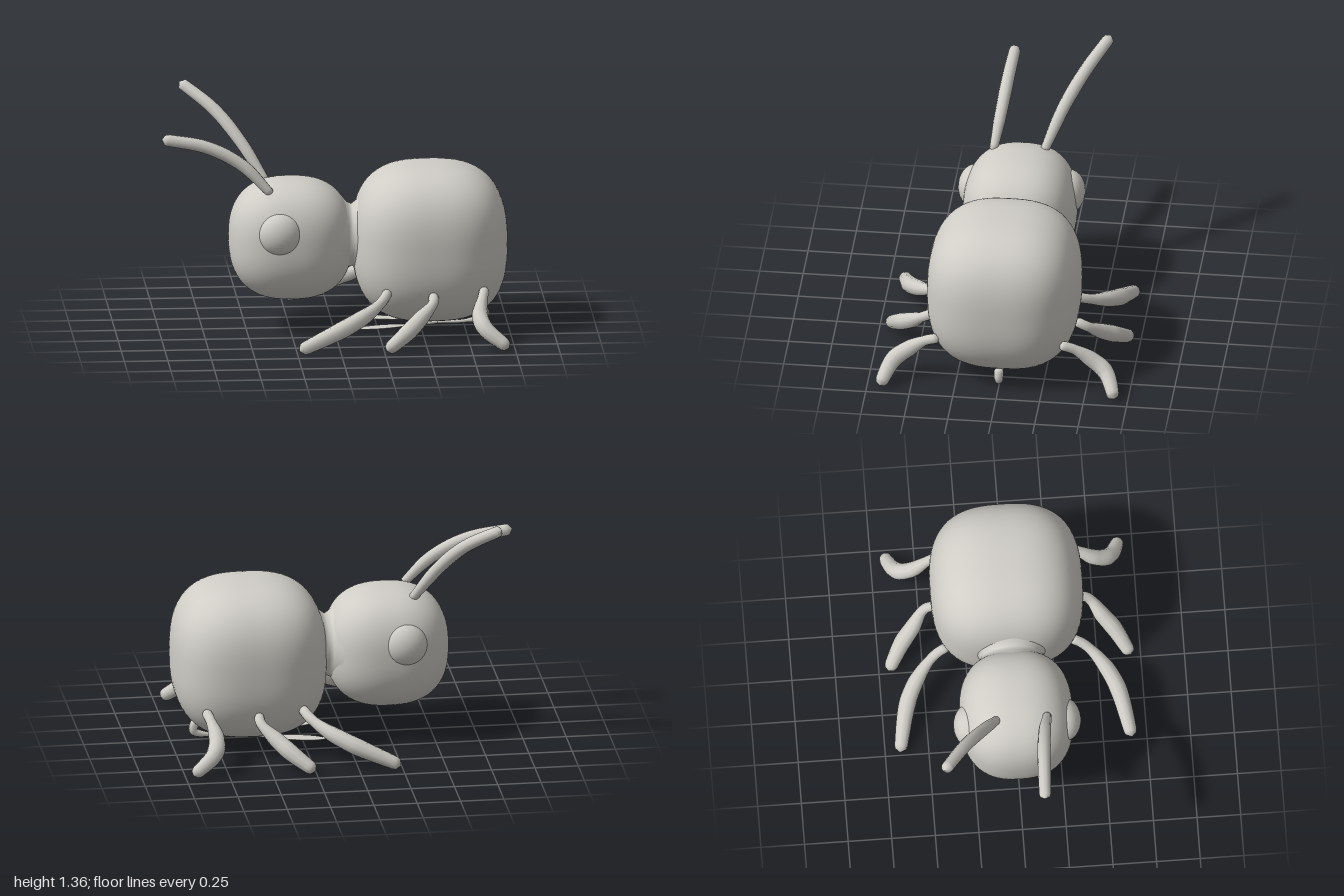
import * as THREE from 'three';
import { mergeVertices } from 'three/addons/utils/BufferGeometryUtils.js';

const clay = new THREE.MeshStandardMaterial({ color: 0xcfcdc6 });
clay.name = 'warm grey';

// Weld the seams and recompute smooth normals
function smooth(geometry) {
  geometry.deleteAttribute('uv');
  geometry.deleteAttribute('normal');
  const welded = mergeVertices(geometry, 1e-5);
  welded.computeVertexNormals();
  return welded;
}

function addPart(group, name, geometry) {
  const mesh = new THREE.Mesh(geometry, clay);
  mesh.name = name;
  group.add(mesh);
  return mesh;
}

// Squarish ellipsoid: power 2 is round, higher is boxier
function roundedBlob(rx, ry, rz, power) {
  const g = new THREE.IcosahedronGeometry(1, 14);
  const p = g.attributes.position;
  const v = new THREE.Vector3();
  for (let i = 0; i < p.count; i++) {
    v.fromBufferAttribute(p, i);
    const sum = [v.x, v.y, v.z].reduce((s, c) => s + Math.abs(c) ** power, 0);
    v.multiplyScalar(sum ** (-1 / power));
    p.setXYZ(i, v.x * rx, v.y * ry, v.z * rz);
  }
  return smooth(g);
}

// Tube along a path with evenly spaced radii and rounded ends
function limb(points, radii, sides = 10) {
  const rings = 36;
  const curve = new THREE.CatmullRomCurve3(points.map((q) => new THREE.Vector3(...q)), false, 'centripetal');
  const g = new THREE.TubeGeometry(curve, rings, 1, sides);
  const length = curve.getLength();
  const p = g.attributes.position;
  const v = new THREE.Vector3();
  for (let i = 0; i <= rings; i++) {
    const t = i / rings;
    const s = t * (radii.length - 1);
    const k = Math.min(Math.floor(s), radii.length - 2);
    let r = THREE.MathUtils.lerp(radii[k], radii[k + 1], s - k);
    const edge = Math.min(t, 1 - t) * length;
    if (edge < r) r *= Math.sqrt(Math.max(0, 1 - (1 - edge / r) ** 2));
    r = Math.max(r, 0.0005);
    const c = curve.getPointAt(t);
    for (let j = 0; j <= sides; j++) {
      const n = i * (sides + 1) + j;
      v.fromBufferAttribute(p, n).sub(c).multiplyScalar(r).add(c);
      p.setXYZ(n, v.x, v.y, v.z);
    }
  }
  return smooth(g);
}

export function createModel() {
  const model = new THREE.Group();
  model.name = 'bug';

  // Body, head and the pinched neck between them
  addPart(model, 'abdomen', roundedBlob(0.443, 0.452, 0.438, 2.75)).position.set(0.552, 0.512, 0);
  addPart(model, 'head', roundedBlob(0.355, 0.348, 0.325, 2.5)).position.set(-0.245, 0.54, 0);
  const profile = [[0.27, -0.1], [0.235, -0.05], [0.19, -0.01], [0.178, 0.015], [0.2, 0.045], [0.25, 0.09]]
    .map(([r, h]) => new THREE.Vector2(r, h));
  const neck = addPart(model, 'neck', smooth(new THREE.LatheGeometry(profile, 40)));
  neck.rotation.z = -Math.PI / 2;
  neck.position.set(0.09, 0.55, 0);

  // Eyes
  for (const side of [1, -1]) {
    const eye = addPart(model, side > 0 ? 'frontEye' : 'backEye', new THREE.SphereGeometry(0.126, 28, 18));
    eye.position.set(-0.32, 0.62, side * 0.27);
    eye.scale.z = 0.76;
  }

  // Antennae, each swept its own way
  const feelerRadii = [0.024, 0.035, 0.038, 0.037, 0.034];
  addPart(model, 'frontAntenna', limb(
    [[-0.36, 0.83, 0.17], [-0.53, 1.0, 0.142], [-0.73, 1.105, 0.125], [-0.99, 1.155, 0.112]], feelerRadii));
  addPart(model, 'backAntenna', limb(
    [[-0.37, 0.83, -0.115], [-0.52, 1.06, -0.22], [-0.66, 1.22, -0.325], [-0.85, 1.355, -0.455]], feelerRadii));

  // Three pairs of bent legs
  const legs = {
    foreLeg: [[0.29, 0.295, 0.345], [0.26, 0.265, 0.42], [0.19, 0.22, 0.5], [0.04, 0.15, 0.595], [-0.24, 0.03, 0.665]],
    middleLeg: [[0.545, 0.285, 0.40], [0.54, 0.25, 0.47], [0.46, 0.175, 0.545], [0.39, 0.12, 0.61], [0.26, 0.03, 0.695]],
    hindLeg: [[0.845, 0.3, 0.345], [0.825, 0.265, 0.43], [0.805, 0.19, 0.53], [0.83, 0.13, 0.61], [0.96, 0.03, 0.675]],
  };
  for (const [name, path] of Object.entries(legs)) {
    for (const side of [1, -1]) {
      const points = path.map(([x, y, z]) => [x, y, z * side]);
      addPart(model, `${side > 0 ? 'front' : 'back'} ${name}`, limb(points, [0.03, 0.03, 0.046, 0.05, 0.044, 0.036]));
    }
  }

  // Thin stalk under the belly, forking into two flat leaves
  addPart(model, 'stalk', limb(
    [[0.85, 0.13, 0], [0.865, 0.06, 0], [0.76, 0.032, 0], [0.58, 0.026, 0]], [0.03, 0.024, 0.011, 0.009, 0.009], 8));
  for (const side of [1, -1]) {
    addPart(model, 'stalkFork', limb(
      [[0.6, 0.026, 0], [0.5, 0.027, side * 0.045], [0.4, 0.03, side * 0.08]], [0.009, 0.008, 0.007], 8));
    const leaf = addPart(model, 'leaf', new THREE.SphereGeometry(1, 20, 10));
    leaf.scale.set(0.155, 0.006, 0.045);
    leaf.position.set(0.27, 0.031, side * 0.115);
    leaf.rotation.y = side * 0.25;
  }
  return model;
}
